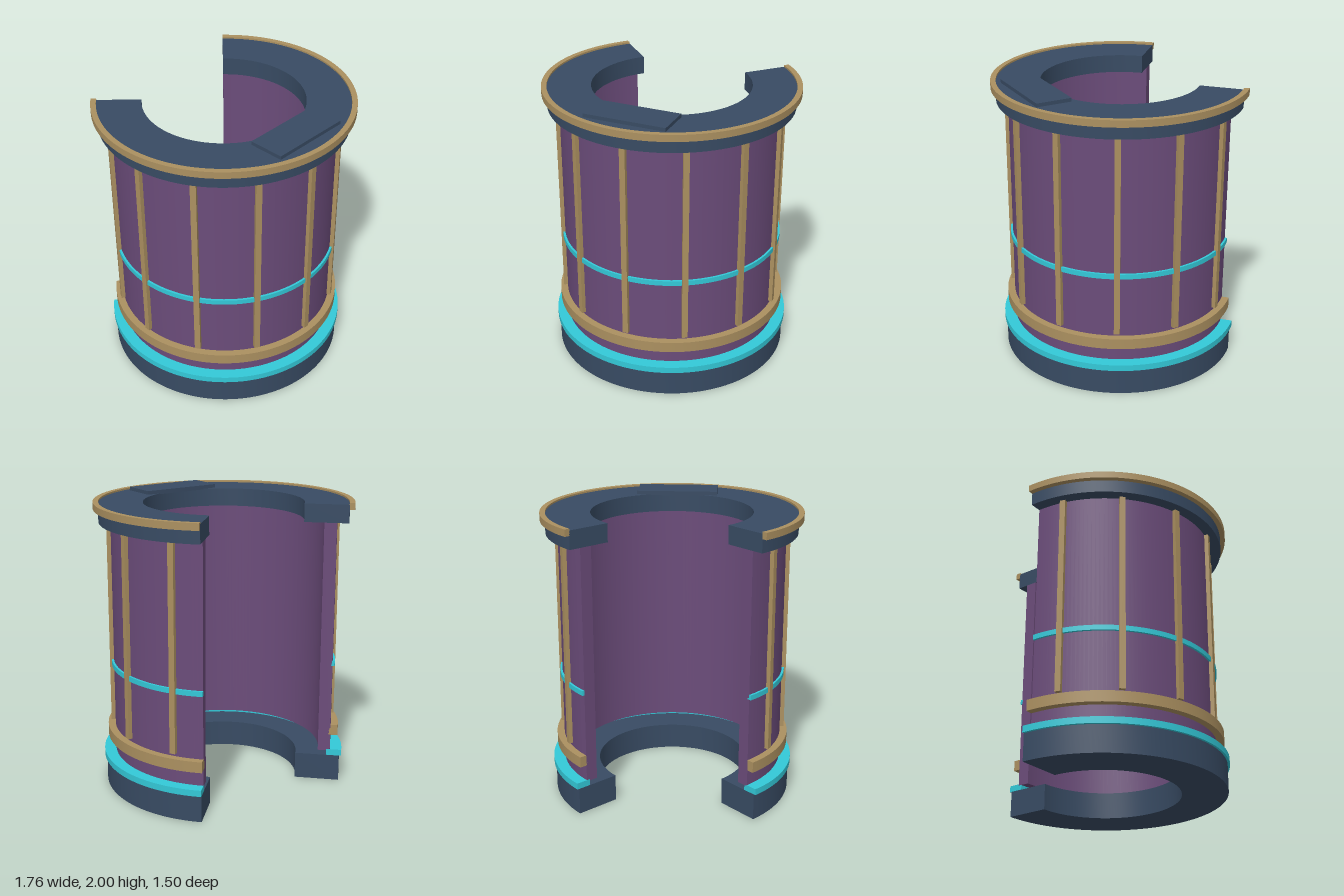
import * as THREE from 'three';
import { toCreasedNormals } from 'three/addons/utils/BufferGeometryUtils.js';

const material = (name, color) => {
  const m = new THREE.MeshStandardMaterial({ color });
  m.name = name;
  return m;
};

// Three-quarter ring, open toward the back, from height y0 to y1
function arcRing(inner, outer, y0, y1) {
  const start = Math.PI * 0.75, end = Math.PI * 2.25;
  const shape = new THREE.Shape();
  shape.absarc(0, 0, outer, start, end, false);
  shape.absarc(0, 0, inner, end, start, true);
  shape.closePath();
  const geo = new THREE.ExtrudeGeometry(shape, { depth: y1 - y0, bevelEnabled: false, curveSegments: 64 });
  geo.rotateX(-Math.PI / 2);
  geo.translate(0, y0, 0);
  return toCreasedNormals(geo, 0.5);
}

export function createModel() {
  const navy = material('navy', 0x384b63);
  const purple = material('purple', 0x6b4c7a);
  const gold = material('gold', 0xab9060);
  const cyan = material('cyan', 0x33c9d8);

  const model = new THREE.Group();
  model.name = 'curvedBooth';
  const body = new THREE.Group();
  body.name = 'body';
  body.position.z = -0.13;
  model.add(body);

  const add = (name, geo, mat) => {
    const mesh = new THREE.Mesh(geo, mat);
    mesh.name = name;
    body.add(mesh);
    return mesh;
  };

  // Stacked rings: inner radius, outer radius, bottom, top
  add('base', arcRing(0.52, 0.83, 0, 0.185), navy);
  add('baseGlowRing', arcRing(0.74, 0.845, 0.186, 0.23), cyan);
  add('wall', arcRing(0.68, 0.765, 0.22, 1.85), purple);
  add('lowerBand', arcRing(0.725, 0.815, 0.34, 0.415), gold);
  add('middleGlowRing', arcRing(0.75, 0.78, 0.85, 0.885), cyan);
  add('topRing', arcRing(0.545, 0.845, 1.85, 1.975), navy);
  add('topTrim', arcRing(0.843, 0.88, 1.94, 1.987), gold);

  // Vertical ribs every 30 degrees around the outside
  for (let i = -4; i <= 4; i++) {
    const a = (i * Math.PI) / 6;
    const rib = add('rib', new THREE.BoxGeometry(0.04, 1.41, 0.04), gold);
    rib.position.set(Math.sin(a) * 0.773, 1.145, Math.cos(a) * 0.773);
    rib.rotation.y = a;
  }

  // Flat counter plate at the front of the top
  const plate = add('counterPlate', new THREE.BoxGeometry(0.57, 0.03, 0.245), navy);
  plate.position.set(0, 1.985, 0.635);

  return model;
}
